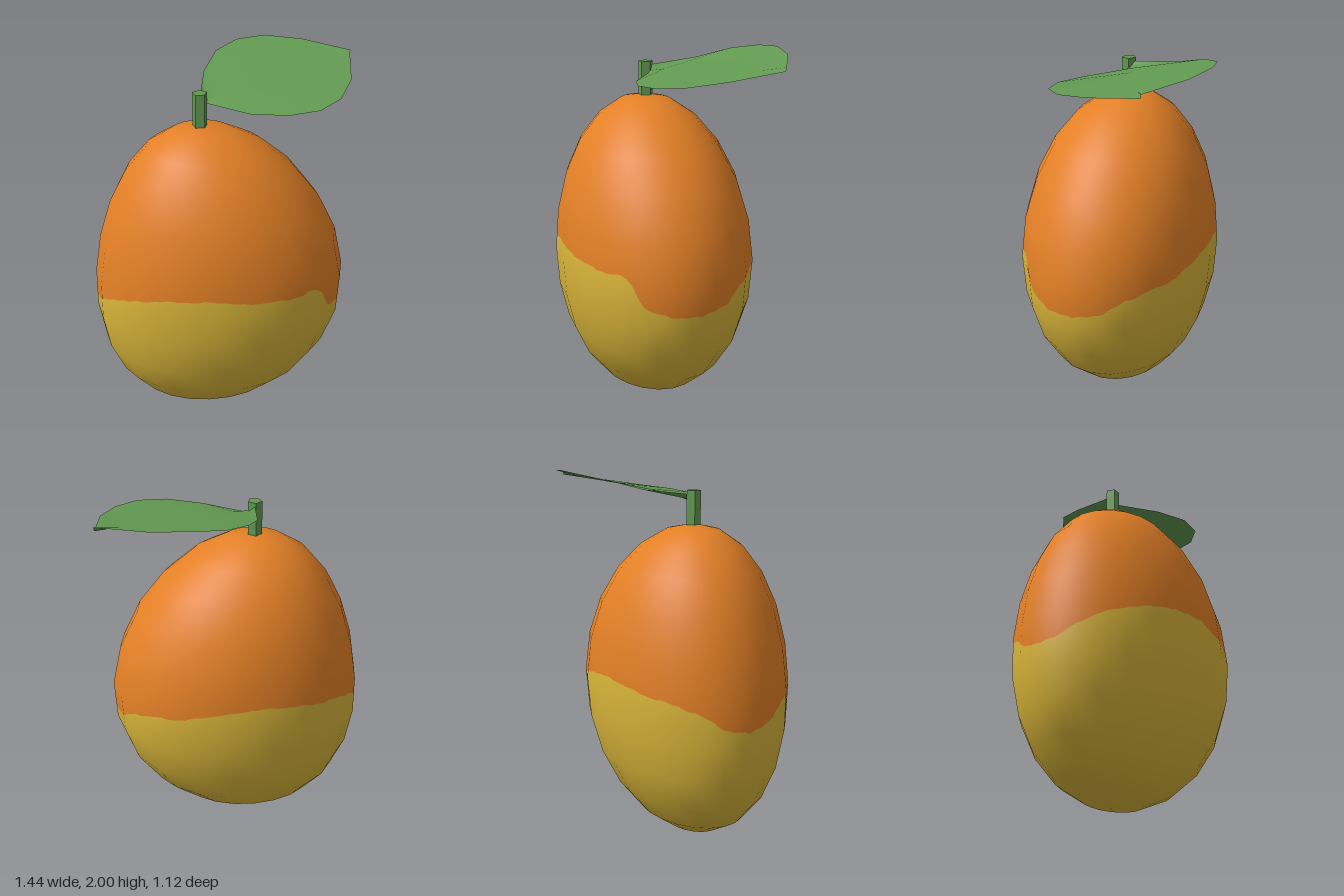
import * as THREE from 'three';

const SIDES = 20, STACKS = 12, FINE = 6; // body facets, and columns per facet for the colour edge
const rad = THREE.MathUtils.degToRad;

// Smooth body: an ellipsoid wider near the bottom, with both poles leaning to -x
function bodyPoint(phi, t) {
  const c = Math.cos(phi), s = Math.sin(phi);
  return new THREE.Vector3(
    -0.03 - 0.1 * c * c + (0.69 - 0.075 * c) * s * Math.cos(t),
    0.865 + 0.86 * c,
    0.033 + 0.525 * s * Math.sin(t));
}

function bodyNormal(phi, t) {
  const p = THREE.MathUtils.clamp(phi, 0.01, Math.PI - 0.01), e = 0.004;
  const dp = bodyPoint(p + e, t).sub(bodyPoint(p - e, t));
  const dt = bodyPoint(p, t + e).sub(bodyPoint(p, t - e));
  return dt.cross(dp).normalize();
}

// The same body as flat facets, so that the outline stays coarse
function facetPoint(phi, t) {
  const u = phi / Math.PI * STACKS, v = t / (2 * Math.PI) * SIDES;
  const i = Math.min(Math.floor(u + 1e-6), STACKS - 1), j = Math.floor(v + 1e-6);
  const at = (a, b) => bodyPoint(a * Math.PI / STACKS, b * 2 * Math.PI / SIDES);
  const upper = at(i, j).lerp(at(i, j + 1), v - j);
  const lower = at(i + 1, j).lerp(at(i + 1, j + 1), v - j);
  return upper.lerp(lower, u - i);
}

// Wavy colour edge: [degrees around from +x towards +z, height]
const EDGE = [
  [0, 0.705], [18, 0.71], [31, 0.74], [35, 0.79], [38, 0.86], [43, 0.91], [60, 0.91], [79, 0.93],
  [98, 0.955], [122, 0.925], [135, 0.88], [146, 0.85], [157, 0.79], [168, 0.74], [180, 0.71], [195, 0.74],
  [208, 0.82], [220, 0.86], [235, 0.89], [262, 0.94], [282, 0.92], [300, 0.87], [318, 0.84], [330, 0.81],
  [342, 0.74], [360, 0.705],
];
function edgePhi(t) {
  const deg = t * 180 / Math.PI;
  const i = Math.max(1, EDGE.findIndex(p => p[0] >= deg - 1e-6));
  const [a, b] = [EDGE[i - 1], EDGE[i]];
  const y = a[1] + (b[1] - a[1]) * (deg - a[0]) / (b[0] - a[0])
    + 0.006 * Math.sin(13 * t) * Math.sin(29 * t);
  return Math.acos((y - 0.865) / 0.86);
}

// One colour zone of the skin, from stack row k0 to k1, cut by the colour edge
function skin(k0, k1, cut) {
  const cols = SIDES * FINE, pos = [], nor = [], index = [], phis = [];
  for (let k = k0; k <= k1; k++) {
    for (let j = 0; j <= cols; j++) {
      const t = j / cols * 2 * Math.PI;
      const phi = cut(k * Math.PI / STACKS, edgePhi(t));
      phis.push(phi);
      pos.push(...facetPoint(phi, t).toArray());
      nor.push(...bodyNormal(phi, t).toArray());
    }
  }
  for (let k = 0; k < k1 - k0; k++) {
    for (let j = 0; j < cols; j++) {
      const a = k * (cols + 1) + j, b = a + 1, d = a + cols + 1, e = d + 1;
      if (phis[d] - phis[a] > 1e-6) index.push(a, b, d);
      if (phis[e] - phis[b] > 1e-6) index.push(b, e, d);
    }
  }
  return surface(pos, index, nor);
}

function surface(pos, index, nor) {
  const g = new THREE.BufferGeometry();
  g.setAttribute('position', new THREE.Float32BufferAttribute(pos, 3));
  g.setIndex(index);
  if (nor) g.setAttribute('normal', new THREE.Float32BufferAttribute(nor, 3));
  else g.computeVertexNormals();
  return g;
}

// Leaf: back edge, midrib and front edge at each station from base to tip
function leafGeometry() {
  const stations = [
    [[-0.125, 1.88, 0.0], [-0.10, 1.85, 0.02], [-0.09, 1.84, 0.03]],
    [[-0.095, 1.91, -0.255], [0.0, 1.875, -0.03], [0.12, 1.84, 0.185]],
    [[-0.02, 1.96, -0.43], [0.13, 1.895, -0.10], [0.31, 1.853, 0.245]],
    [[0.10, 1.987, -0.535], [0.28, 1.91, -0.165], [0.47, 1.865, 0.22]],
    [[0.26, 2.0, -0.56], [0.43, 1.925, -0.235], [0.59, 1.88, 0.11]],
    [[0.465, 1.99, -0.51], [0.58, 1.938, -0.30], [0.675, 1.91, -0.08]],
    [[0.715, 1.97, -0.367], [0.712, 1.95, -0.364], [0.712, 1.948, -0.355]],
  ];
  const index = [];
  for (let i = 0; i < stations.length - 1; i++) {
    for (let j = 0; j < 2; j++) {
      const a = i * 3 + j, b = a + 1, c = a + 3, d = a + 4;
      index.push(a, b, c, b, d, c);
    }
  }
  return surface(stations.flat(2), index);
}

export function createModel() {
  const mat = (name, color, extra = {}) =>
    Object.assign(new THREE.MeshStandardMaterial({ color, ...extra }), { name });
  const orange = mat('orange skin', 0xe38026);
  const yellow = mat('yellow skin', 0xdab63a);
  const green = mat('leaf green', 0x629a52, { side: THREE.DoubleSide });

  const group = new THREE.Group();
  group.name = 'fruit';
  const add = (name, geometry, material) => {
    const mesh = new THREE.Mesh(geometry, material);
    mesh.name = name;
    group.add(mesh);
    return mesh;
  };

  // Two-coloured fruit
  add('upperSkin', skin(0, 7, Math.min), orange);
  add('lowerSkin', skin(5, STACKS, Math.max), yellow);

  // Five-sided stem with hard edges
  const stemShape = new THREE.CylinderGeometry(0.04, 0.04, 0.22, 5).toNonIndexed();
  stemShape.computeVertexNormals();
  const stem = add('stem', stemShape, green);
  stem.position.set(-0.13, 1.79, 0.03);
  stem.rotation.y = rad(180);

  add('leaf', leafGeometry(), green);
  return group;
}
